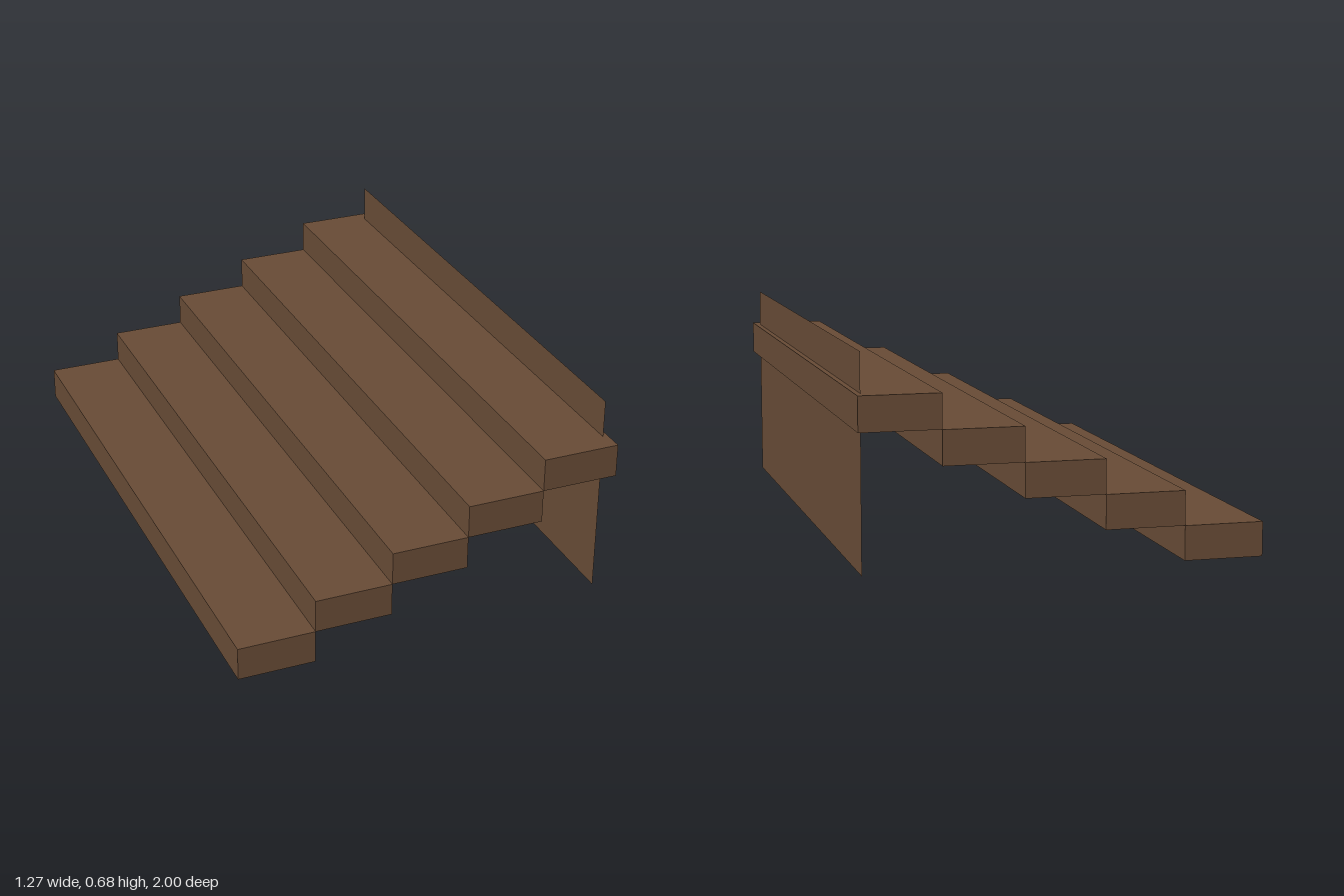
import * as THREE from 'three';

const STEPS = 5;
const RUN = 0.255;   // depth of each step
const RISE = 0.11;   // height of each step
const WIDTH = 2;

export function createModel() {
  const model = new THREE.Group();
  model.name = 'staircase';

  const wood = new THREE.MeshStandardMaterial({ color: 0x664a35, side: THREE.DoubleSide });
  wood.name = 'brown wood';

  // Solid steps, climbing toward +x and meeting corner to corner
  const stepGeometry = new THREE.BoxGeometry(RUN, RISE, WIDTH);
  for (let i = 0; i < STEPS; i++) {
    const step = new THREE.Mesh(stepGeometry, wood);
    step.name = `step${i + 1}`;
    step.position.set((i - (STEPS - 1) / 2) * RUN, (i + 0.5) * RISE, 0);
    model.add(step);
  }

  // Thin upright back panel, passing through the top step
  const panel = new THREE.Mesh(new THREE.PlaneGeometry(1.89, 0.675), wood);
  panel.name = 'backPanel';
  panel.rotation.y = Math.PI / 2;
  panel.position.set(0.62, 0.3375, -0.01);
  model.add(panel);

  return model;
}
